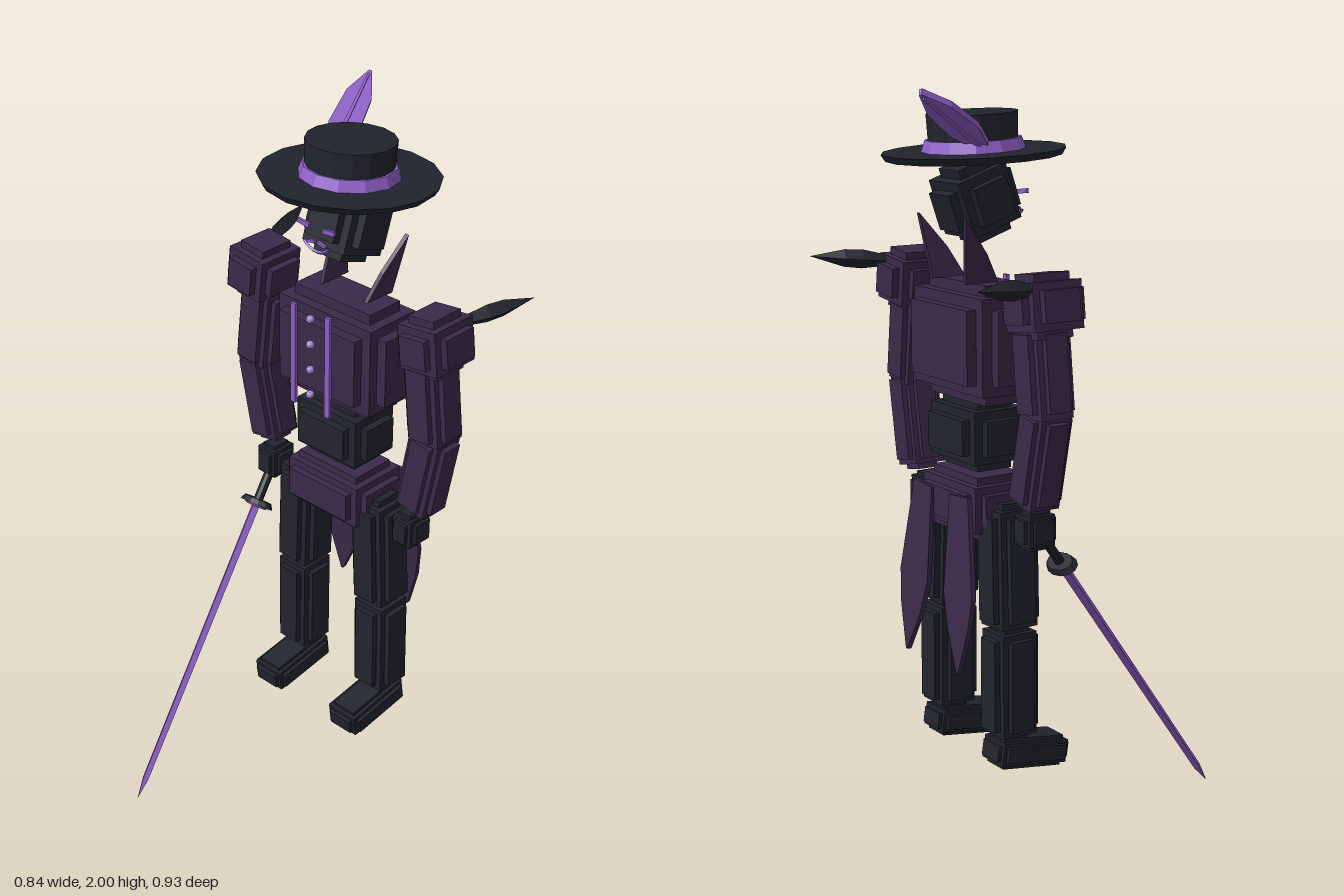
import * as THREE from 'three';

const V = (x, y, z) => new THREE.Vector3(x, y, z);
const mat = (name, color) => {
  const m = new THREE.MeshStandardMaterial({ color, flatShading: true, side: THREE.DoubleSide });
  m.name = name;
  return m;
};

export function createModel() {
  const cloth = mat('plum cloth', 0x3b2a4a);
  const dark = mat('black leather', 0x22242e);
  const accent = mat('violet trim', 0x8f5fc8);
  const pale = mat('pale violet', 0xac88d4);
  const root = new THREE.Group();
  root.name = 'swordsman';

  const add = (name, geo, material, pos, parent = root) => {
    const m = new THREE.Mesh(geo, material);
    m.name = name;
    if (pos) m.position.copy(pos);
    parent.add(m);
    return m;
  };

  // Padded block: a core with a raised plate on each face
  const block = (name, w, h, d, material, pos) => {
    const g = new THREE.Group();
    g.name = name;
    g.position.copy(pos);
    const s = Math.min(w, h, d) * 0.25, t = 2 * s;
    const sizes = [[w - s, h - s, d - s], [w, h - t, d - t], [w - t, h, d - t], [w - t, h - t, d]];
    for (const size of sizes) add(name + ' plate', new THREE.BoxGeometry(...size), material, null, g);
    root.add(g);
    return g;
  };

  // Block stretched between two points
  const limb = (name, a, b, w, d, material) => {
    const dir = b.clone().sub(a);
    const g = block(name, w, dir.length(), d, material, a.clone().add(b).multiplyScalar(0.5));
    g.quaternion.setFromUnitVectors(V(0, -1, 0), dir.normalize());
    return g;
  };

  // Turn local +y along a-b, with local +z as near as possible to the hint
  const aim = (mesh, a, b, hint) => {
    const y = b.clone().sub(a).normalize();
    const x = y.clone().cross(hint).normalize();
    const z = x.clone().cross(y);
    mesh.quaternion.setFromRotationMatrix(new THREE.Matrix4().makeBasis(x, y, z));
    mesh.position.copy(a);
    return mesh;
  };

  // Flat pointed plate; profile holds [fraction along, half width]
  const leaf = (name, a, b, hint, profile, thick, material) => {
    const len = a.distanceTo(b);
    const right = profile.map(([t, w]) => new THREE.Vector2(w, t * len));
    const left = profile.map(([t, w]) => new THREE.Vector2(-w, t * len)).reverse();
    const geo = new THREE.ExtrudeGeometry(new THREE.Shape([...right, ...left]), { depth: thick, bevelEnabled: false });
    geo.translate(0, 0, -thick / 2);
    return aim(add(name, geo, material), a, b, hint);
  };

  const Z = -0.19;

  // Trunk
  block('chest', 0.392, 0.315, 0.235, cloth, V(0, 1.343, Z));
  block('waist', 0.265, 0.19, 0.2, dark, V(0, 1.095, Z));
  block('hips', 0.3, 0.165, 0.22, cloth, V(0, 0.907, Z));

  // Jacket trim and buttons
  for (const s of [-1, 1])
    add('jacketStripe', new THREE.BoxGeometry(0.018, 0.3, 0.009), accent, V(s * 0.063, 1.345, -0.052));
  for (let i = 0; i < 4; i++)
    add('button', new THREE.IcosahedronGeometry(0.012, 1), pale, V(0, 1.47 - i * 0.076, -0.05));

  // Head, tipped back, and face
  block('head', 0.196, 0.2, 0.2, dark, V(0, 1.71, Z)).rotation.x = -0.33;
  for (const s of [-1, 1]) {
    const eye = add('eye', new THREE.BoxGeometry(0.042, 0.012, 0.008), accent, V(s * 0.045, 1.727, -0.07));
    eye.rotation.z = s * 0.12;
    const cheek = add('moustache', new THREE.BoxGeometry(0.03, 0.008, 0.008), accent, V(s * 0.018, 1.683, -0.072));
    cheek.rotation.z = -s * 0.2;
  }
  const smile = new THREE.TorusGeometry(0.06, 0.005, 4, 8, 1.7);
  smile.rotateZ(-Math.PI / 2 - 0.85);
  add('mouth', smile, accent, V(0, 1.718, -0.072));

  // Hat
  const hat = new THREE.Group();
  hat.name = 'hat';
  hat.position.set(0, 1.828, -0.193);
  hat.rotation.x = -0.05;
  root.add(hat);
  add('brim', new THREE.CylinderGeometry(0.243, 0.232, 0.018, 16), dark, null, hat);
  add('hatBand', new THREE.CylinderGeometry(0.126, 0.137, 0.03, 12), accent, V(0, 0.024, 0), hat);
  add('crown', new THREE.CylinderGeometry(0.121, 0.118, 0.095, 16), dark, V(0, 0.058, 0), hat);

  // Hat feather
  const fa = V(-0.1, 1.855, -0.23), fb = V(-0.175, 1.995, -0.458);
  leaf('feather', fa, fb, V(0.35, 1, 0), [[0, 0.018], [0.3, 0.042], [0.7, 0.036], [1, 0.004]], 0.018, accent);
  leaf('featherQuill', fa, fb, V(0.35, 1, 0), [[0, 0.006], [0.95, 0.003]], 0.03, accent);

  for (const s of [-1, 1]) {
    // Collar point
    const collar = new THREE.Shape([[0, 0], [0.1, 0], [0.12, 0.175], [0.045, 0.08]].map(p => new THREE.Vector2(...p)));
    const cg = new THREE.ExtrudeGeometry(collar, { depth: 0.012, bevelEnabled: false });
    cg.rotateY(Math.PI / 2);
    const c = add('collar', cg, cloth, V(s * 0.08 - 0.006, 1.5, -0.175));
    c.rotation.z = -s * 0.2;

    // Arm
    block('shoulder', 0.168, 0.165, 0.19, cloth, V(s * 0.315, 1.468, Z)).rotation.z = s * 0.12;
    limb('upperArm', V(s * 0.298, 1.43, Z), V(s * 0.328, 1.165, Z), 0.135, 0.13, cloth);
    limb('forearm', V(s * 0.332, 1.215, Z), V(s * 0.276, 0.935, Z - 0.005), 0.125, 0.12, cloth);
    block('hand', 0.088, 0.105, 0.1, dark, V(s * 0.262, 0.875, -0.18));

    // Shoulder spike
    const spike = new THREE.LatheGeometry(
      [[0.012, 0], [0.026, 0.09], [0.024, 0.14], [0, 0.235]].map(p => new THREE.Vector2(...p)), 4);
    aim(add('shoulderSpike', spike, dark), V(s * 0.345, 1.515, -0.235), V(s * 0.42, 1.535, -0.455), V(0, 1, 0));

    // Leg
    limb('thigh', V(s * 0.138, 0.925, Z + 0.005), V(s * 0.152, 0.57, Z + 0.002), 0.14, 0.145, dark);
    limb('shin', V(s * 0.152, 0.59, Z + 0.002), V(s * 0.155, 0.27, Z), 0.135, 0.14, dark);
    block('boot', 0.12, 0.085, 0.23, dark, V(s * 0.152, 0.225, -0.137)).rotation.x = 0.15;

    // Coat tail
    leaf('coatTail', V(s * 0.09, 0.945, -0.3), V(s * 0.13, 0.47, -0.335), V(0, 0, -1),
      [[0, 0.045], [0.55, 0.07], [0.75, 0.05], [1, 0.003]], 0.014, cloth);
  }

  // Sword in the right hand
  const tip = V(-0.2, 0.005, 0.467), guard = V(-0.25, 0.765, -0.09);
  const len = tip.distanceTo(guard);
  const sword = new THREE.Group();
  sword.name = 'sword';
  root.add(sword);
  const bladeGeo = new THREE.LatheGeometry(
    [[0, 0], [0.014, 0.001], [0.011, len * 0.93], [0, len]].map(p => new THREE.Vector2(...p)), 4);
  add('blade', bladeGeo, accent, null, sword);
  add('guardPlate', new THREE.CylinderGeometry(0.056, 0.046, 0.016, 12), dark, null, sword).scale.z = 0.65;
  const rim = new THREE.TorusGeometry(0.034, 0.006, 4, 12);
  rim.rotateX(Math.PI / 2);
  add('guardRing', rim, accent, V(0, 0.008, 0), sword).scale.z = 0.65;
  add('grip', new THREE.CylinderGeometry(0.014, 0.014, 0.15, 8), dark, V(0, -0.075, 0), sword);
  aim(sword, guard, tip, V(0, 1, 0.7));

  return root;
}
